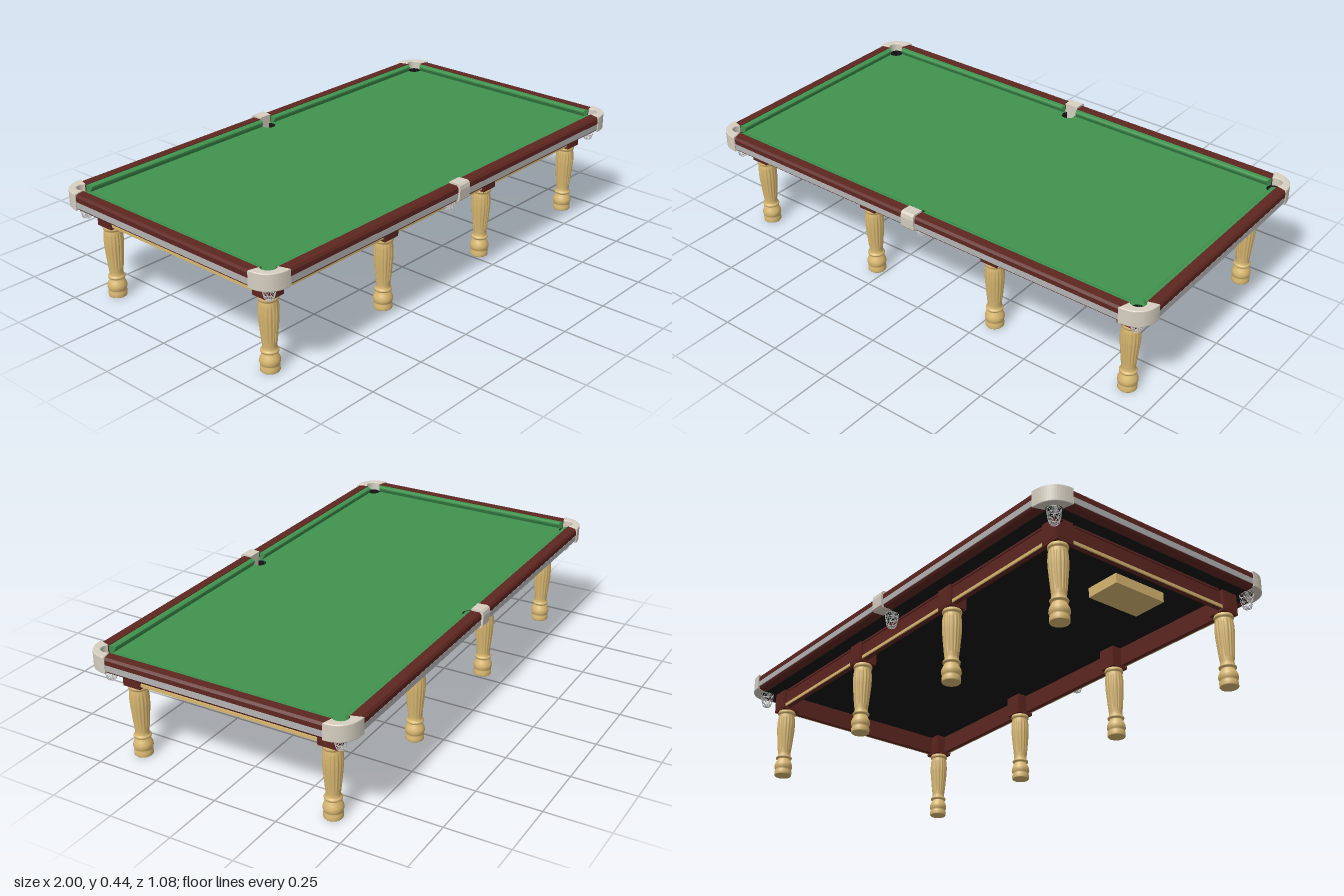
import * as THREE from 'three';

const mat = (color) => new THREE.MeshStandardMaterial({ color });
const WOOD = mat(0x5e2620), GOLD = mat(0xd9b871), SILVER = mat(0xb4b4b4), CLOTH = mat(0x40934f);
const IVORY = mat(0xd6cfc1), BLACK = mat(0x141414), NET = mat(0xcccccc);
const PX = 0.935, PZ = 0.468, PR = 0.027; // pocket centres and radius
const SIGNS = [-1, 1];

function add(parent, name, geo, material, x = 0, y = 0, z = 0) {
  const m = new THREE.Mesh(geo, material);
  m.name = name;
  m.position.set(x, y, z);
  parent.add(m);
  return m;
}
const box = (parent, name, material, w, h, d, x, y, z) =>
  add(parent, name, new THREE.BoxGeometry(w, h, d), material, x, y, z);

// Prism along x with profile points [z, y]; slant lengthens the ends towards the inside
function bar(profile, x0, x1, slant0 = 0, slant1 = 0) {
  const shape = new THREE.Shape(profile.map((p) => new THREE.Vector2(...p)));
  const geo = new THREE.ExtrudeGeometry(shape, { depth: 1, bevelEnabled: false });
  const outer = Math.max(...profile.map((p) => p[0]));
  const pos = geo.attributes.position;
  for (let i = 0; i < pos.count; i++) {
    const d = pos.getX(i), t = 1 - pos.getZ(i), k = outer - d;
    pos.setXYZ(i, (x0 + slant0 * k) * (1 - t) + (x1 + slant1 * k) * t, pos.getY(i), d);
  }
  geo.computeVertexNormals();
  return geo;
}

// Slab lying flat, its top at y = 0
function slab(points, depth, bevel = 0) {
  const geo = new THREE.ExtrudeGeometry(new THREE.Shape(points), {
    depth: depth - 2 * bevel, bevelEnabled: bevel > 0, bevelSize: bevel,
    bevelThickness: bevel, bevelOffset: -bevel, bevelSegments: 3,
  });
  return geo.translate(0, 0, bevel).rotateX(Math.PI / 2);
}

function arc(cx, cz, r, a0, a1, n) {
  return Array.from({ length: n + 1 }, (_, i) => {
    const a = a0 + ((a1 - a0) * i) / n;
    return new THREE.Vector2(cx + r * Math.cos(a), cz + r * Math.sin(a));
  });
}

// Playing surface outline with six pocket cut-outs, mirrored from one quarter
function bedOutline(hx, hz) {
  const q = [
    new THREE.Vector2(hx, PZ - PR),
    ...arc(PX, PZ, PR, -Math.PI / 2, -Math.PI, 8),
    new THREE.Vector2(PX - PR, hz), new THREE.Vector2(PR, hz),
    ...arc(0, PZ, PR, 0, -Math.PI / 2, 8),
  ];
  const flip = (sx, sz) => q.map((p) => new THREE.Vector2(p.x * sx, p.y * sz));
  return [...q, ...flip(-1, 1).reverse().slice(1), ...flip(-1, -1), ...flip(1, -1).reverse().slice(1)];
}

// Turned leg with fluted shaft
function legGeometry() {
  const profile = [
    [0, 0], [0.033, 0], [0.035, 0.003], [0.035, 0.018], [0.031, 0.023], [0.034, 0.028], [0.037, 0.037],
    [0.036, 0.048], [0.031, 0.06], [0.026, 0.069], [0.026, 0.073], [0.032, 0.075], [0.033, 0.08],
    [0.030, 0.084], [0.026, 0.087], [0.026, 0.1], [0.0275, 0.112], [0.0285, 0.118], [0.032, 0.155],
    [0.036, 0.2], [0.037, 0.225], [0.036, 0.25], [0.034, 0.262], [0.032, 0.268], [0.032, 0.272],
    [0.036, 0.274], [0.037, 0.279], [0.036, 0.284], [0.033, 0.29],
  ].map((p) => new THREE.Vector2(...p));
  const geo = new THREE.LatheGeometry(profile, 64);
  const pos = geo.attributes.position;
  for (let i = 0; i < pos.count; i++) {
    const y = pos.getY(i);
    if (y < 0.115 || y > 0.255) continue;
    const a = Math.atan2(pos.getZ(i), pos.getX(i));
    const s = 1 - 0.11 * Math.pow(0.5 + 0.5 * Math.cos(16 * a), 2);
    pos.setX(i, pos.getX(i) * s);
    pos.setZ(i, pos.getZ(i) * s);
  }
  geo.computeVertexNormals();
  return geo;
}

// Woven pocket net hanging below a hole
function pocketNet() {
  const g = new THREE.Group();
  g.name = 'pocketNet';
  const radius = (t) => 0.0255 - 0.011 * t * t;
  for (let i = 0; i < 4; i++) {
    const t = i / 3;
    const ring = new THREE.TorusGeometry(radius(t), 0.0013, 5, 20).rotateX(Math.PI / 2);
    add(g, 'netRing', ring, NET, 0, -0.055 * t, 0);
  }
  for (let i = 0; i < 8; i++) {
    for (const s of SIGNS) {
      const pts = [0, 0.33, 0.67, 1].map((t) => {
        const a = (i / 8) * Math.PI * 2 + s * t * 1.2;
        return new THREE.Vector3(radius(t) * Math.cos(a), -0.055 * t, radius(t) * Math.sin(a));
      });
      pts.push(new THREE.Vector3(0, -0.057, 0));
      add(g, 'netCord', new THREE.TubeGeometry(new THREE.CatmullRomCurve3(pts), 8, 0.001, 4), NET);
    }
  }
  return g;
}

export function createModel() {
  const table = new THREE.Group();
  table.name = 'billiardTable';

  // Bed: cloth on top of a dark base
  const outline = bedOutline(0.957, 0.488);
  add(table, 'cloth', slab(outline, 0.012), CLOTH, 0, 0.405, 0);
  add(table, 'bedBase', slab(outline, 0.021), BLACK, 0, 0.393, 0);

  // Rails with silver trim and cushions; o is the outer edge distance
  const railProfile = (i, o) => [
    [i, 0.374], [o - 0.008, 0.374], [o - 0.003, 0.383], [o - 0.003, 0.406],
    [o, 0.407], [o, 0.425], [o - 0.007, 0.434], [i, 0.434]];
  const trimProfile = (o) => [[o - 0.006, 0.383], [o, 0.383], [o, 0.406], [o - 0.006, 0.406]];
  const cushionProfile = (i) => [
    [i, 0.404], [i, 0.432], [i - 0.014, 0.431], [i - 0.021, 0.427], [i - 0.021, 0.421], [i - 0.012, 0.404]];
  for (const side of [0, 1]) {
    const long = new THREE.Group();
    long.name = 'longRail';
    long.rotation.y = side * Math.PI;
    for (const s of SIGNS) {
      const span = (a, b, sa, sb) => (s > 0 ? [a, b, sa, sb] : [-b, -a, -sb, -sa]);
      add(long, 'railWood', bar(railProfile(0.487, 0.53), ...span(0.027, 0.9, 0, 0.4)), WOOD);
      add(long, 'railTrim', bar(trimProfile(0.53), ...span(0.027, 0.9, 0, 0)), SILVER);
      add(long, 'cushion', bar(cushionProfile(0.488), ...span(0.028, 0.914, 0.3, -0.5)), CLOTH);
    }
    table.add(long);
    const short = new THREE.Group();
    short.name = 'endRail';
    short.rotation.y = Math.PI / 2 + side * Math.PI;
    add(short, 'railWood', bar(railProfile(0.956, 0.997), -0.44, 0.44, -0.2, 0.2), WOOD);
    add(short, 'railTrim', bar(trimProfile(0.997), -0.44, 0.44), SILVER);
    add(short, 'cushion', bar(cushionProfile(0.957), -0.448, 0.448, 0.5, -0.5), CLOTH);
    table.add(short);
  }

  // Corner and middle pockets
  const cornerCurve = new THREE.CubicBezierCurve(
    new THREE.Vector2(0.9, 0.534), new THREE.Vector2(0.962, 0.534),
    new THREE.Vector2(1, 0.502), new THREE.Vector2(1, 0.438));
  const corner = [...cornerCurve.getPoints(16), ...arc(PX, PZ, 0.029, -0.71, 2.36, 16)];
  for (const sz of SIGNS) {
    for (const sx of SIGNS) {
      const pts = corner.map((p) => new THREE.Vector2(p.x * sx, p.y * sz));
      add(table, 'cornerCasting', slab(pts, 0.066, 0.004), IVORY, 0, 0.438, 0);
      box(table, 'pocketBracket', BLACK, 0.004, 0.003, 0.065, sx * 0.925, 0.351, sz * 0.453);
    }
    const casting = bar([[0.487, 0.374], [0.53, 0.372], [0.537, 0.38], [0.539, 0.42],
      [0.536, 0.435], [0.528, 0.442], [0.487, 0.44]], -0.029, 0.029);
    add(table, 'middleCasting', casting, IVORY).rotation.y = sz > 0 ? 0 : Math.PI;
    for (const x of [-PX, 0, PX]) {
      const net = pocketNet();
      net.position.set(x, 0.374, sz * PZ);
      table.add(net);
      const liner = new THREE.CylinderGeometry(PR, PR, 0.03, 24, 1, true);
      const linerMat = mat(0x141414);
      linerMat.side = THREE.DoubleSide;
      add(table, 'pocketLiner', liner, linerMat, x, 0.389, sz * PZ);
    }
  }

  // Aprons with a gold strip along the lower outside edge
  for (const s of SIGNS) {
    box(table, 'longApron', WOOD, 1.76, 0.076, 0.02, 0, 0.336, s * 0.416);
    box(table, 'longApronStrip', GOLD, 1.76, 0.012, 0.006, 0, 0.304, s * 0.428);
    box(table, 'longApronMoulding', WOOD, 1.66, 0.008, 0.006, 0, 0.368, s * 0.428);
    box(table, 'endApron', WOOD, 0.02, 0.076, 0.74, s * 0.892, 0.336, 0);
    box(table, 'endApronStrip', GOLD, 0.006, 0.012, 0.74, s * 0.904, 0.304, 0);
    box(table, 'endApronMoulding', WOOD, 0.006, 0.008, 0.7, s * 0.904, 0.368, 0);
  }

  // Eight legs under square blocks
  const legGeo = legGeometry();
  for (const x of [-0.875, -0.292, 0.292, 0.875]) {
    for (const s of SIGNS) {
      add(table, 'leg', legGeo, GOLD, x, 0, s * 0.401);
      box(table, 'legBlock', WOOD, 0.074, 0.087, 0.074, x, 0.3315, s * 0.401);
      box(table, 'blockPanel', WOOD, 0.056, 0.068, 0.004, x, 0.3315, s * 0.438);
      if (Math.abs(x) > 0.5) {
        box(table, 'blockPanel', WOOD, 0.004, 0.068, 0.056, x + Math.sign(x) * 0.037, 0.3315, s * 0.401);
      }
    }
  }

  // Shallow box under one end
  box(table, 'underBox', GOLD, 0.14, 0.038, 0.23, -0.782, 0.279, 0);
  return table;
}
